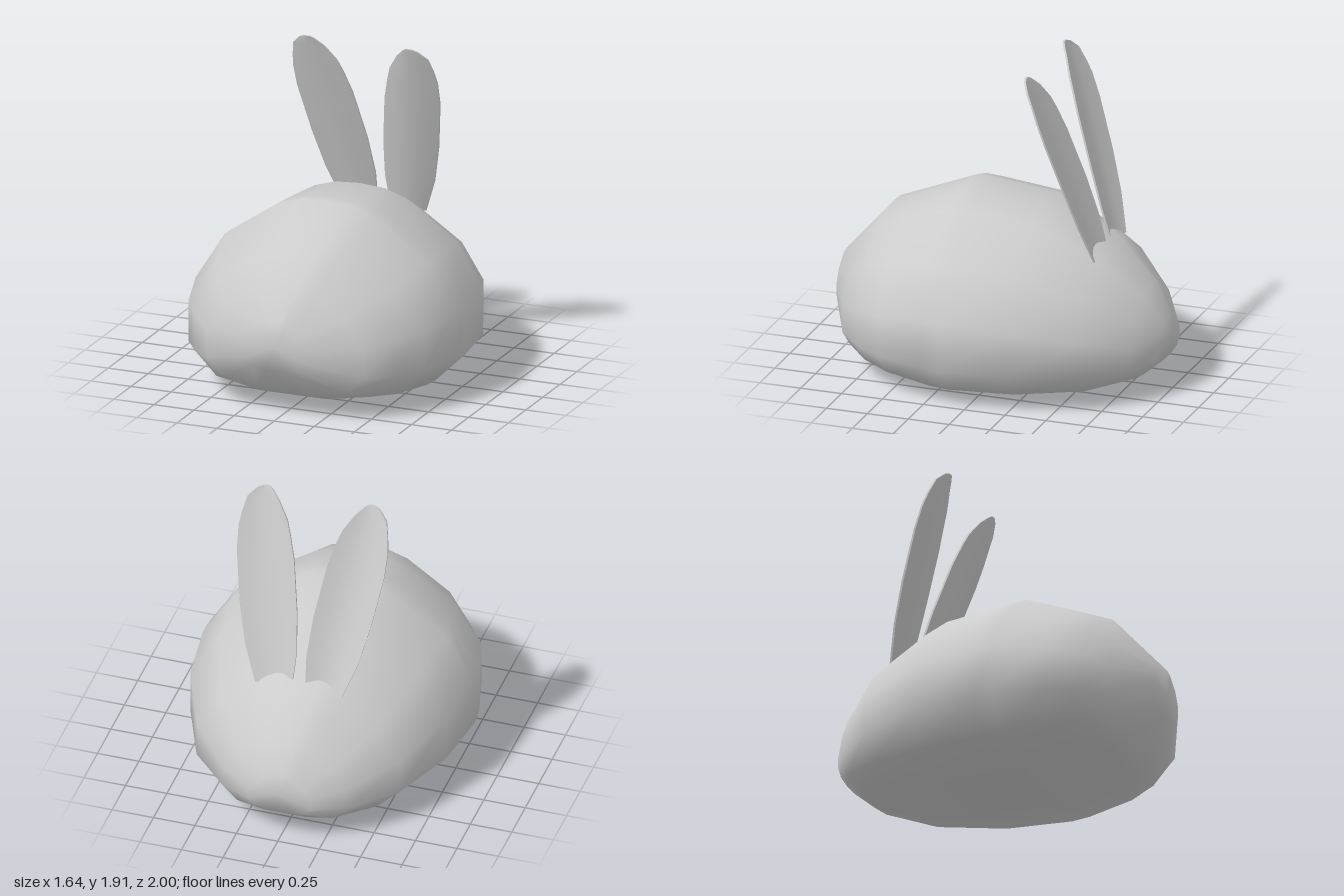
import * as THREE from 'three';
import { toCreasedNormals } from 'three/addons/utils/BufferGeometryUtils.js';

// Closed skin through equal-sized rings of [x, y, z], with a fan to a point at each end
function loft(rings, startPoint, endPoint) {
  const n = rings[0].length;
  const last = (rings.length - 1) * n;
  const start = rings.length * n;
  const end = start + 1;
  const index = [];
  for (let i = 0; i < rings.length - 1; i++) {
    for (let j = 0; j < n; j++) {
      const a = i * n + j;
      const b = i * n + (j + 1) % n;
      index.push(a, b, a + n, b, b + n, a + n);
    }
  }
  for (let j = 0; j < n; j++) {
    const k = (j + 1) % n;
    index.push(start, k, j, end, last + j, last + k);
  }
  const geometry = new THREE.BufferGeometry();
  const points = [...rings.flat(), startPoint, endPoint].flat();
  geometry.setAttribute('position', new THREE.Float32BufferAttribute(points, 3));
  geometry.setIndex(index);
  geometry.computeVertexNormals();
  return geometry;
}

// Egg-shaped body: half outline as [width share, height share], top to bottom
function bodyGeometry() {
  const half = [[0.2, 0.99], [0.37, 0.95], [0.78, 0.74], [1, 0.48], [1, 0.22], [0.78, 0.06], [0.34, 0]];
  const outline = [[0, 1], ...half, ...half.map(([x, y]) => [-x, y]).reverse()];
  // z, half width, top, bottom
  const stations = [
    [0.99, 0.18, 0.60, 0.30],
    [0.84, 0.49, 0.77, 0.13],
    [0.71, 0.62, 0.92, 0.07],
    [0.54, 0.73, 0.985, 0.04],
    [0.25, 0.81, 1.10, 0.005],
    [0.14, 0.82, 1.09, 0],
    [-0.25, 0.77, 1.055, 0.01],
    [-0.63, 0.61, 0.85, 0.05],
    [-0.87, 0.37, 0.61, 0.11],
    [-0.97, 0.19, 0.44, 0.19],
  ];
  const rings = stations.map(([z, w, top, bottom]) =>
    outline.map(([x, y]) => [x * w, bottom + y * (top - bottom), z]));
  return loft(rings, [0, 0.44, 1], [0, 0.33, -1]);
}

// Thin ear leaning forward, its edges curling back
function earGeometry(side) {
  // y, inner x, outer x, curl depth
  const rows = [
    [0.81, 0.04, 0.26, 0.03],
    [1.02, 0.03, 0.34, 0.04],
    [1.25, 0.05, 0.395, 0.045],
    [1.55, 0.10, 0.445, 0.045],
    [1.69, 0.14, 0.45, 0.042],
    [1.76, 0.165, 0.44, 0.037],
    [1.85, 0.225, 0.42, 0.025],
    [1.90, 0.275, 0.37, 0.008],
    [1.915, 0.30, 0.335, 0.002],
  ];
  const across = [-1, -0.5, 0, 0.5, 1];
  const leanZ = (y) => -0.575 + 0.33 * (y - 0.82);
  const rings = rows.map(([y, inner, outer, curl]) => {
    const face = (offset) => across.map((u) => [
      side * ((inner + outer) / 2 + u * (outer - inner) / 2),
      y,
      leanZ(y) - curl * u * u + offset,
    ]);
    const ring = [...face(0), ...face(-0.012).reverse()];
    return side < 0 ? ring.reverse() : ring;
  });
  const middle = ([y, inner, outer]) => [side * (inner + outer) / 2, y, leanZ(y) - 0.006];
  const geometry = loft(rings, middle(rows[0]), middle(rows[rows.length - 1]));
  return toCreasedNormals(geometry, Math.PI / 4);
}

export function createModel() {
  const group = new THREE.Group();
  const material = new THREE.MeshStandardMaterial({ color: 0xcccccc });
  const add = (name, geometry) => {
    const mesh = new THREE.Mesh(geometry, material);
    mesh.name = name;
    group.add(mesh);
  };
  add('body', bodyGeometry());
  add('leftEar', earGeometry(1));
  add('rightEar', earGeometry(-1));
  return group;
}
